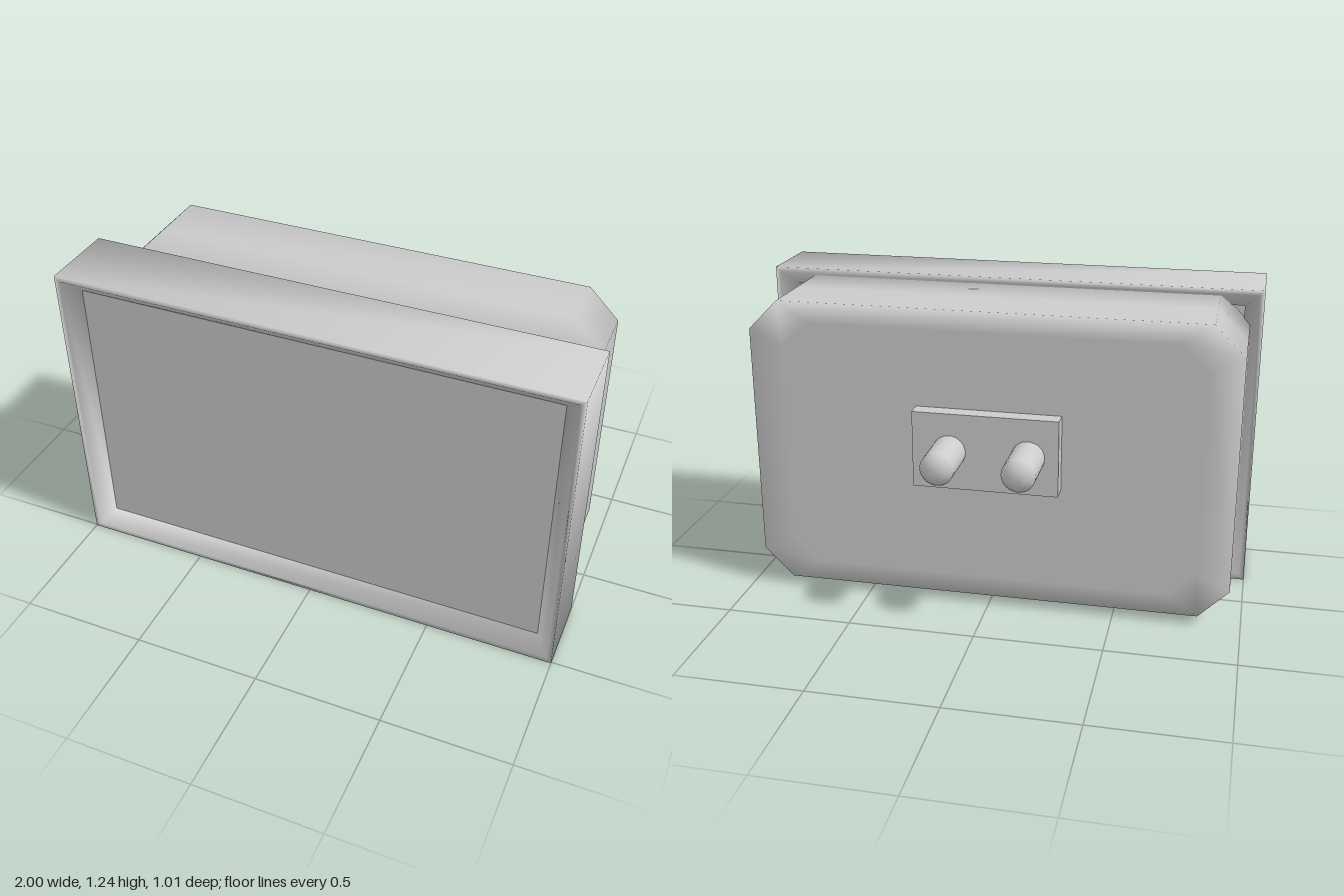
import * as THREE from 'three';

const material = new THREE.MeshStandardMaterial({ color: 0xcccccc });
const CENTER_Y = 0.62;

// Rectangle outline with optional cut corners, counter-clockwise from +z
function outline(w, h, cut = 0) {
  if (!cut) return [[w, -h], [w, h], [-w, h], [-w, -h]];
  return [
    [w, -h + cut], [w, h - cut], [w - cut, h], [-w + cut, h],
    [-w, h - cut], [-w, -h + cut], [-w + cut, -h], [w - cut, -h],
  ];
}

// Smooth skin over a list of { pts, z } rings with equal point counts
function loft(rings, closed = false) {
  const n = rings[0].pts.length;
  const pos = [], index = [];
  for (const { pts, z } of rings) for (const [x, y] of pts) pos.push(x, y, z);
  const spans = closed ? rings.length : rings.length - 1;
  for (let r = 0; r < spans; r++) {
    const s = (r + 1) % rings.length;
    for (let i = 0; i < n; i++) {
      const j = (i + 1) % n;
      const a = r * n + i, b = r * n + j, c = s * n + j, d = s * n + i;
      index.push(a, b, c, a, c, d);
    }
  }
  const geo = new THREE.BufferGeometry();
  geo.setAttribute('position', new THREE.Float32BufferAttribute(pos, 3));
  geo.setIndex(index);
  geo.computeVertexNormals();
  return geo;
}

export function createModel() {
  const model = new THREE.Group();
  model.name = 'wallDisplay';
  const add = (name, geo, x, y, z) => {
    const mesh = new THREE.Mesh(geo, material);
    mesh.name = name;
    mesh.position.set(x, y, z);
    model.add(mesh);
    return mesh;
  };

  // Hollow bezel: thin lips front and back, sloping in to the screen opening
  const bezelRing = (inset, z) => ({ pts: outline(1 - inset, 0.62 - inset), z });
  add('bezel', loft([
    bezelRing(0, 0.2), bezelRing(0, 0.505), bezelRing(0.02, 0.505),
    bezelRing(0.075, 0.45), bezelRing(0.075, 0.25), bezelRing(0.02, 0.2),
  ], true), 0, CENTER_Y, 0);

  // Flat screen recessed behind the lip
  add('screen', new THREE.BoxGeometry(1.85, 1.09, 0.02), 0, CENTER_Y + 0.002, 0.44);

  // Rear housing with cut corners
  const bodyRing = (s, z) => ({
    pts: outline(0.95, 0.5875, 0.118).map(([x, y]) => [x * s, y * s]), z,
  });
  add('rearHousing', loft([
    bodyRing(0, -0.225), bodyRing(0.86, -0.225), bodyRing(1, -0.225),
    bodyRing(1, 0), bodyRing(1, 0.27), bodyRing(0, 0.27),
  ]), 0, 0.6225, 0);

  // Mounting plate
  add('mountPlate', new THREE.BoxGeometry(0.57, 0.305, 0.075), 0, 0.67, -0.2525);

  // Two round pins with chamfered tips, pointing backwards
  const pinProfile = [[0.065, 0], [0.065, 0.185], [0.035, 0.215], [0, 0.215]]
    .map(([r, y]) => new THREE.Vector2(r, y));
  const pinGeo = new THREE.LatheGeometry(pinProfile, 32);
  pinGeo.rotateX(-Math.PI / 2);
  for (const [name, x] of [['rightPin', -0.167], ['leftPin', 0.14]]) {
    add(name, pinGeo, x, 0.67, -0.29);
  }

  return model;
}
